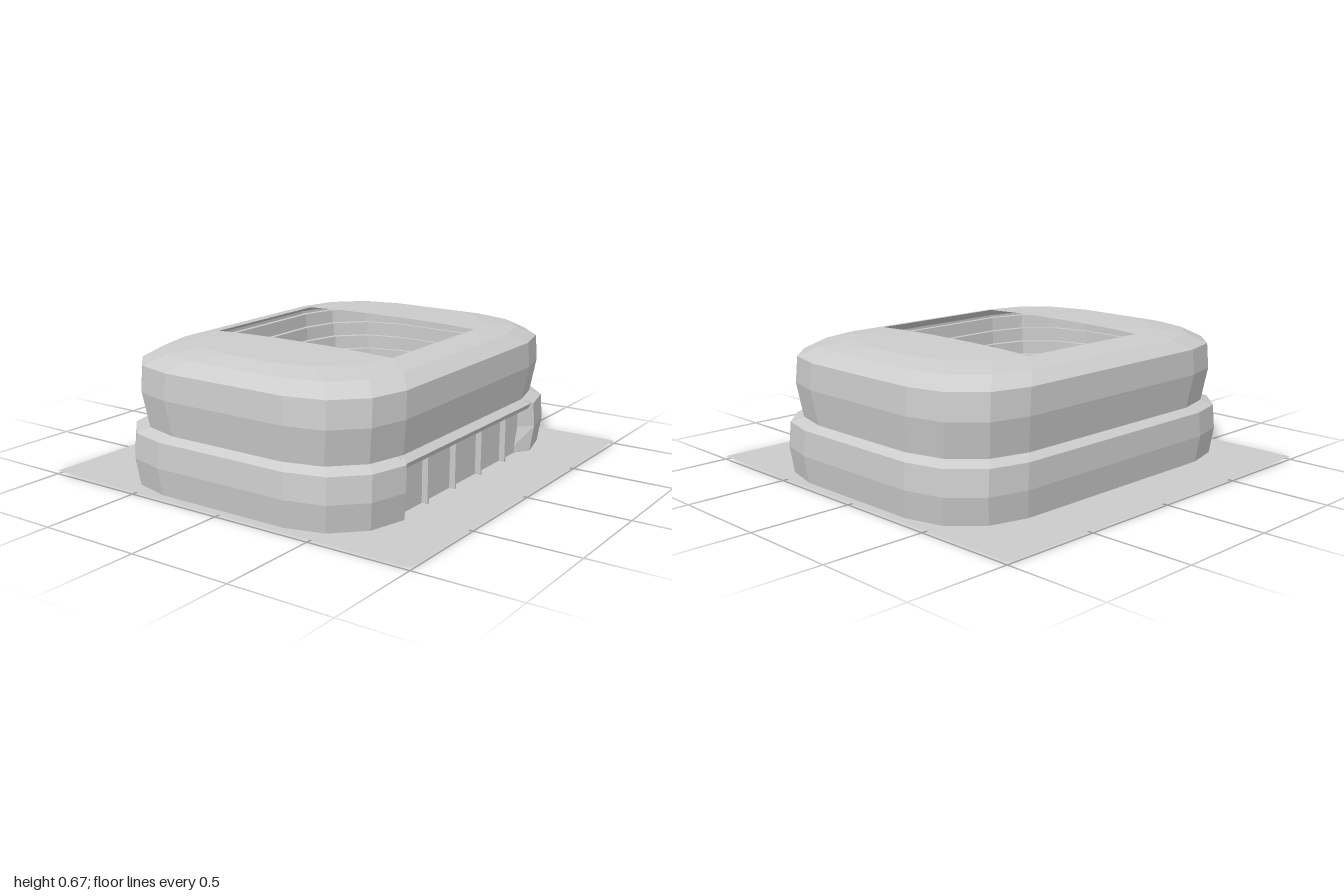
import * as THREE from 'three';

const GROUND = 0.02;
const mat = new THREE.MeshStandardMaterial({ color: 0xcccccc, flatShading: true, side: THREE.DoubleSide });

function add(group, geometry, name, x = 0, y = 0, z = 0) {
  const mesh = new THREE.Mesh(geometry, mat);
  mesh.name = name;
  mesh.position.set(x, y, z);
  group.add(mesh);
  return mesh;
}

// Rounded rectangle outline with three facets per corner, front right round to front left
function ring(hx, hz, y, r = 0.37) {
  const points = [];
  const signs = [[1, 1], [1, -1], [-1, -1], [-1, 1]];
  signs.forEach(([sx, sz], q) => {
    for (let k = 0; k <= 3; k++) {
      const a = (q + k / 3) * Math.PI / 2;
      points.push([sx * (hx - r) + r * Math.sin(a), y, sz * (hz - r) + r * Math.cos(a)]);
    }
  });
  return points;
}

// Skin between rows of points
function loft(rows, closed = true) {
  const n = rows[0].length, index = [];
  for (let j = 0; j < rows.length - 1; j++) {
    for (let i = 0; i < (closed ? n : n - 1); i++) {
      const k = (i + 1) % n;
      const a = j * n + i, b = j * n + k, c = b + n, d = a + n;
      index.push(a, b, c, a, c, d);
    }
  }
  const geometry = new THREE.BufferGeometry();
  geometry.setAttribute('position', new THREE.Float32BufferAttribute(rows.flat(2), 3));
  geometry.setIndex(index);
  geometry.computeVertexNormals();
  return geometry;
}

export function createModel() {
  const model = new THREE.Group();
  model.name = 'stadium';

  // Ground and pitch
  add(model, new THREE.PlaneGeometry(2, 2).rotateX(-Math.PI / 2), 'ground', 0, GROUND);
  add(model, new THREE.PlaneGeometry(1.3, 0.86).rotateX(-Math.PI / 2), 'pitch', 0, 0.025);
  add(model, new THREE.BoxGeometry(0.006, 0.004, 0.85), 'halfwayLine', 0, 0.027, -0.005);

  // Lower storey, open along the front, with a sloping ledge on top
  add(model, loft([
    ring(0.96, 0.715, GROUND), ring(0.975, 0.73, 0.15),
    ring(0.965, 0.725, 0.27), ring(0.92, 0.68, 0.295),
  ], false), 'lowerStorey');

  // Upper storey and curved roof shoulder
  add(model, loft([
    ring(0.92, 0.68, 0.295), ring(0.94, 0.705, 0.46), ring(0.93, 0.7, 0.585),
    ring(0.85, 0.628, 0.635), ring(0.74, 0.5, 0.66),
  ]), 'upperStorey');

  // Roof on both sides of the rectangular opening
  const roofEdge = ring(0.74, 0.5, 0.66);
  for (const side of [1, -1]) {
    const outer = side > 0 ? roofEdge.slice(0, 8) : roofEdge.slice(8);
    const inner = outer.map(([, , z]) =>
      [side * 0.37, 0.66 + 0.01 * Math.min(1, (0.5 - Math.abs(z)) / 0.27), z]);
    add(model, loft([outer, inner], false), side > 0 ? 'leftRoof' : 'rightRoof');
  }

  // Stepped stands inside the bowl
  const tiers = 8, rows = [];
  for (let i = 0; i <= tiers; i++) {
    const hx = 0.76 + 0.15 * i / tiers, hz = 0.485 + 0.185 * i / tiers;
    const y = GROUND + 0.56 * i / tiers;
    rows.push(ring(hx, hz, y));
    if (i < tiers) rows.push(ring(hx, hz, y + 0.56 / tiers));
  }
  add(model, loft(rows.map((row) => row.slice().reverse())), 'stands');

  // Recessed front entrance
  const entrance = new THREE.Group();
  entrance.name = 'entrance';
  model.add(entrance);
  add(entrance, new THREE.BoxGeometry(1.12, 0.25, 0.01), 'entranceWall', 0, 0.145, 0.66);
  for (let i = 0; i < 6; i++) {
    const x = -0.605 + 0.242 * i;
    if (i > 0 && i < 5) add(entrance, new THREE.BoxGeometry(0.012, 0.23, 0.03), 'pillar', x + 0, 0.135, 0.68);
  }
  for (const s of [1, -1]) {
    const wing = [
      [[s * 0.59, GROUND, 0.715], [s * 0.47, 0.005, 0.63]],
      [[s * 0.605, 0.15, 0.73], [s * 0.535, 0.15, 0.655]],
      [[s * 0.595, 0.27, 0.725], [s * 0.535, 0.25, 0.655]],
      [[s * 0.55, 0.295, 0.68], [s * 0.535, 0.29, 0.655]],
    ];
    add(entrance, loft(s > 0 ? wing.map((p) => p.reverse()) : wing, false), s > 0 ? 'leftWing' : 'rightWing');
  }

  // Canopy profile drawn as depth and height, swept across the front
  const profile = new THREE.Shape([[0.64, 0.245], [0.705, 0.245], [0.715, 0.27], [0.68, 0.295], [0.64, 0.295]]
    .map(([z, y]) => new THREE.Vector2(-z, y)));
  const canopy = new THREE.ExtrudeGeometry(profile, { depth: 1.17, bevelEnabled: false });
  canopy.rotateY(Math.PI / 2).translate(-0.585, 0, 0);
  add(entrance, canopy, 'canopy');

  // Small platform on legs beside the pitch
  const platform = new THREE.Group();
  platform.name = 'platform';
  model.add(platform);
  add(platform, new THREE.BoxGeometry(0.106, 0.015, 0.085), 'platformDeck', 0, 0.09, -0.488);
  for (const x of [-0.05, 0.05]) {
    for (const z of [-0.43, -0.515]) {
      add(platform, new THREE.BoxGeometry(0.01, 0.08, 0.02), 'platformLeg', x, 0.05, z);
    }
  }
  return model;
}
